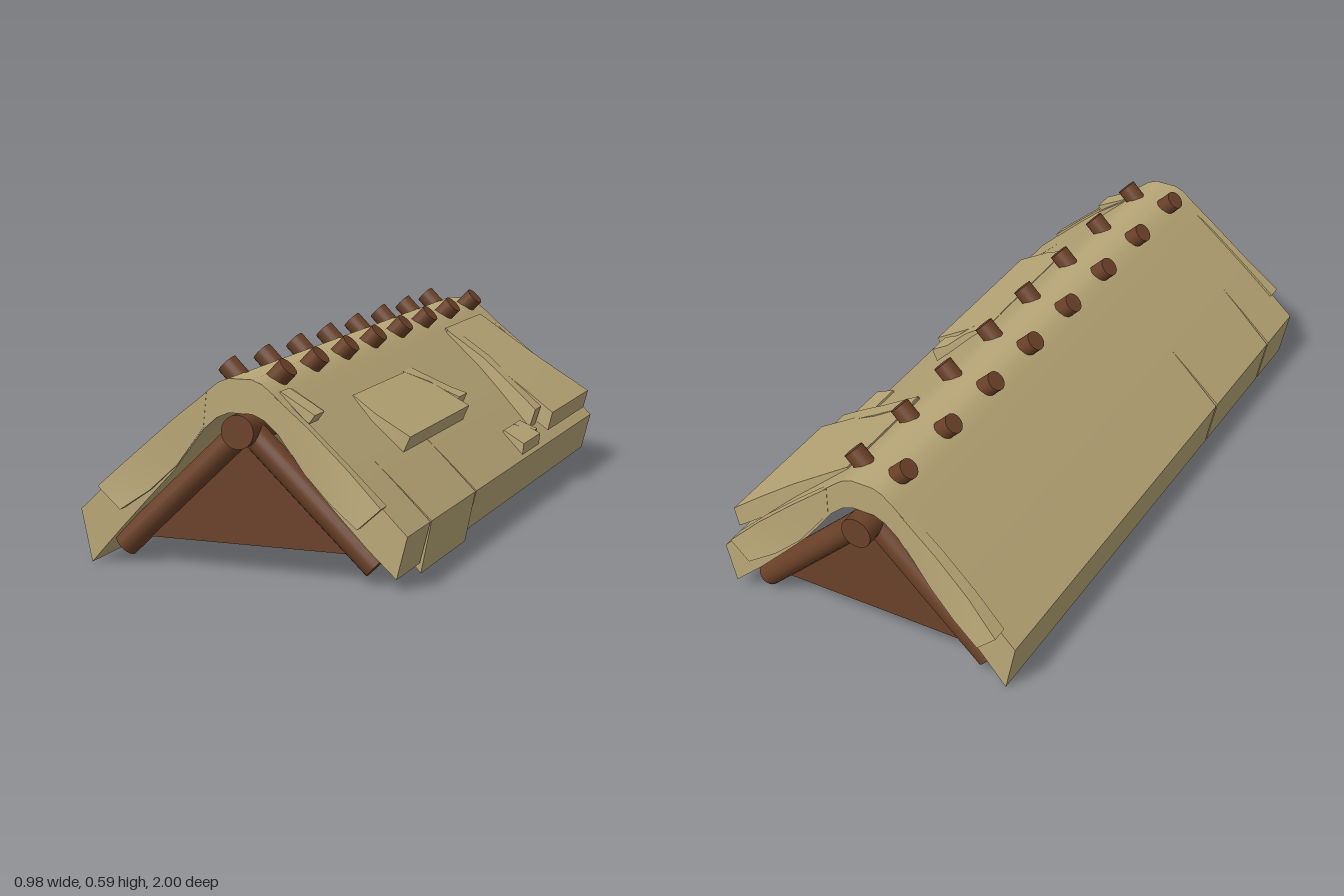
import * as THREE from 'three';
import { toCreasedNormals } from 'three/addons/utils/BufferGeometryUtils.js';

const thatch = new THREE.MeshStandardMaterial({ color: 0xb9a777 });
thatch.name = 'thatch';
const wood = new THREE.MeshStandardMaterial({ color: 0x6b4128 });
wood.name = 'wood';

// Each row: [outerX, outerY, innerX, innerY, zBack, zFront], listed with x growing
const mirrorRows = rows => rows.map(([a, b, c, d, e, f]) => [-a, b, -c, d, e, f]).reverse();

// Closed slab lofted through four-cornered sections
function sheet(rows) {
  const sec = rows.map(([ox, oy, ix, iy, z0, z1]) =>
    [[ox, oy, z0], [ox, oy, z1], [ix, iy, z1], [ix, iy, z0]]);
  const pos = [];
  const quad = (a, b, c, d) => pos.push(...a, ...b, ...c, ...a, ...c, ...d);
  for (let i = 0; i < sec.length - 1; i++) {
    const p = sec[i], q = sec[i + 1];
    for (let k = 0; k < 4; k++) {
      const n = (k + 1) % 4;
      quad(p[k], p[n], q[n], q[k]);
    }
  }
  const s = sec[0], e = sec[sec.length - 1];
  quad(s[3], s[2], s[1], s[0]);
  quad(e[0], e[1], e[2], e[3]);
  const g = new THREE.BufferGeometry();
  g.setAttribute('position', new THREE.Float32BufferAttribute(pos, 3));
  return toCreasedNormals(g, 0.5);
}

export function createModel() {
  const model = new THREE.Group();
  model.name = 'thatchedRoof';

  const add = (name, geometry, material) => {
    const m = new THREE.Mesh(geometry, material);
    m.name = name;
    model.add(m);
    return m;
  };

  // Round log between two points
  function log(name, a, b, r) {
    const from = new THREE.Vector3(...a), to = new THREE.Vector3(...b);
    const dir = to.clone().sub(from);
    const m = add(name, new THREE.CylinderGeometry(r, r, dir.length(), 20), wood);
    m.position.copy(from).add(to).multiplyScalar(0.5);
    m.quaternion.setFromUnitVectors(new THREE.Vector3(0, 1, 0), dir.normalize());
    return m;
  }

  // Thatch over the ridge, in one piece
  const slope = [
    [0.035, 0.55, 0.035, 0.455, -0.957, 0.963],
    [0.065, 0.538, 0.07, 0.44, -0.957, 0.963],
    [0.10, 0.51, 0.11, 0.405, -0.957, 0.963],
    [0.15, 0.465, 0.15, 0.35, -0.957, 0.963],
    [0.20, 0.42, 0.20, 0.285, -0.957, 0.963],
    [0.31, 0.322, 0.275, 0.205, -0.957, 0.965],
  ];
  add('ridgeThatch', sheet([...mirrorRows(slope), ...slope]), thatch);

  // Eave panels, parted by narrow slits that open toward the edge
  const cuts = [-0.957, 0.37, 0.78, 0.965];
  const gap = 0.005;
  for (const side of [1, -1]) {
    for (let i = 0; i < 3; i++) {
      const z0 = cuts[i], z1 = cuts[i + 1];
      const low0 = i === 0 ? (side > 0 ? -0.975 : -0.962) : z0 + gap;
      const low1 = i === 2 ? 0.975 : z1 - gap;
      const drop = side < 0 || i === 1 ? 0.004 : 0.035;
      const rows = [
        [0.31, 0.322, 0.275, 0.205, z0, z1],
        [0.40, 0.238, 0.37, 0.10 + drop * 0.3, (z0 + low0) / 2, (z1 + low1) / 2],
        [0.486, 0.155, 0.455, drop, low0, low1],
      ];
      add('eavePanel', sheet(side > 0 ? rows : mirrorRows(rows)), thatch);
    }
  }

  // Flared bundles at the gable ends
  const frontFlap = [
    [0.10, 0.508, 0.11, 0.41, 0.93, 0.964],
    [0.20, 0.428, 0.19, 0.30, 0.94, 0.968],
    [0.32, 0.322, 0.27, 0.225, 0.948, 0.98],
    [0.42, 0.23, 0.352, 0.168, 0.955, 1.0],
  ];
  const backFlap = [
    [0.12, 0.49, 0.12, 0.40, -0.958, -0.925],
    [0.24, 0.392, 0.22, 0.27, -0.966, -0.93],
    [0.35, 0.298, 0.30, 0.20, -0.98, -0.94],
    [0.445, 0.207, 0.385, 0.15, -1.0, -0.95],
  ];
  for (const flap of [frontFlap, backFlap]) {
    add('gableFlap', sheet(flap), thatch);
    add('gableFlap', sheet(mirrorRows(flap)), thatch);
  }

  // Loose patches and curled strips on the left slope
  const patches = {
    smallPatch: [
      [0.10, 0.515, 0.09, 0.47, 0.855, 0.92],
      [0.205, 0.457, 0.185, 0.43, 0.86, 0.93],
    ],
    smallPatchStrip: [
      [0.10, 0.512, 0.09, 0.47, 0.84, 0.855],
      [0.19, 0.452, 0.175, 0.43, 0.825, 0.84],
    ],
    middlePatch: [
      [0.17, 0.45, 0.15, 0.41, 0.10, 0.55],
      [0.25, 0.405, 0.22, 0.36, 0.04, 0.58],
      [0.355, 0.345, 0.335, 0.30, 0.03, 0.58],
    ],
    middlePatchStrip: [
      [0.165, 0.453, 0.15, 0.41, 0.03, 0.11],
      [0.235, 0.415, 0.21, 0.37, 0.0, 0.05],
      [0.275, 0.385, 0.26, 0.345, -0.045, 0.02],
      [0.318, 0.367, 0.30, 0.325, -0.065, 0.015],
    ],
    backPatch: [
      [0.11, 0.508, 0.10, 0.46, -0.865, -0.475],
      [0.30, 0.38, 0.28, 0.32, -0.87, -0.475],
      [0.40, 0.312, 0.38, 0.25, -0.89, -0.465],
      [0.49, 0.25, 0.475, 0.19, -0.915, -0.45],
    ],
    backPatchStrip: [
      [0.12, 0.502, 0.10, 0.46, -0.525, -0.465],
      [0.25, 0.418, 0.23, 0.36, -0.515, -0.455],
      [0.35, 0.345, 0.33, 0.28, -0.48, -0.42],
      [0.45, 0.268, 0.43, 0.205, -0.45, -0.385],
    ],
    lowPatch: [
      [0.41, 0.237, 0.40, 0.21, -0.33, -0.16],
      [0.48, 0.20, 0.475, 0.16, -0.34, -0.15],
    ],
    lowPatchStrip: [
      [0.41, 0.238, 0.40, 0.215, -0.34, -0.27],
      [0.46, 0.208, 0.45, 0.18, -0.375, -0.32],
    ],
  };
  for (const [name, rows] of Object.entries(patches)) add(name, sheet(rows), thatch);

  // Timber frame: ridge pole, rafters and gable boards
  log('ridgePole', [0, 0.407, -1], [0, 0.407, 0.985], 0.048);
  const board = new THREE.Shape([
    new THREE.Vector2(-0.33, 0.08), new THREE.Vector2(0.33, 0.08), new THREE.Vector2(0, 0.41),
  ]);
  for (const end of [1, -1]) {
    for (const side of [1, -1]) {
      log('rafter', [0, 0.41, end * 0.915], [side * 0.377, 0.05, end * 0.915], 0.038);
    }
    const g = new THREE.ExtrudeGeometry(board, { depth: 0.05, bevelEnabled: false });
    add('gableBoard', g, wood).position.z = end * 0.9 - 0.025;
  }

  // Crossed pegs along the ridge
  for (let i = 0; i < 8; i++) {
    const z = -0.855 + i * 0.2425;
    for (const side of [1, -1]) {
      log('ridgePeg', [side * 0.01, 0.488, z], [side * 0.092, 0.571, z], 0.031);
    }
  }

  return model;
}
